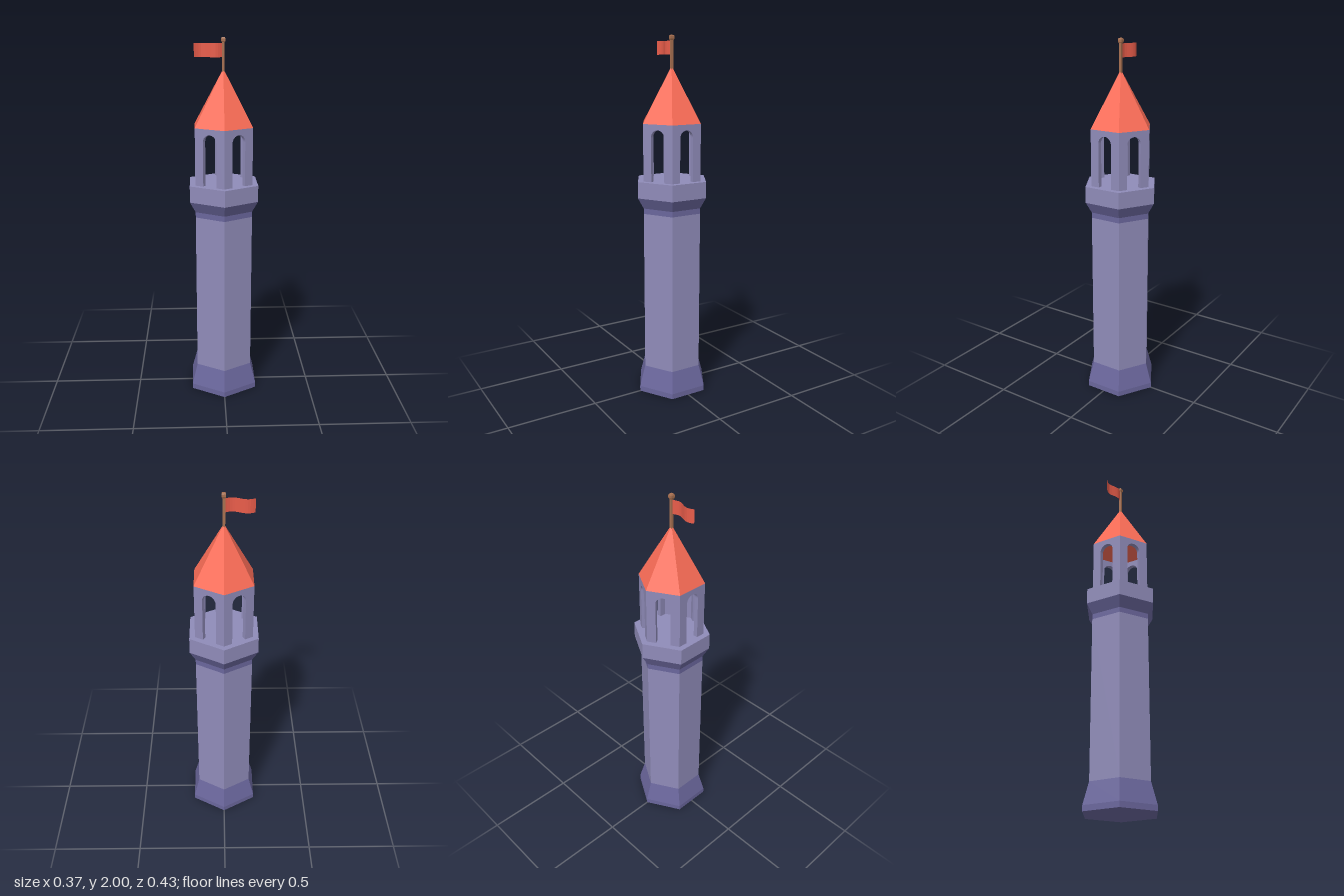
import * as THREE from 'three';

const material = (color, side = THREE.FrontSide) =>
  new THREE.MeshStandardMaterial({ color, flatShading: true, side });

const stone = material(0x8f8bb8);
const darkStone = material(0x6a669c);
const roofRed = material(0xfa6c56);
const flagRed = material(0xe85c4a, THREE.DoubleSide);
const wood = material(0xa87050);

const R = 0.178;                        // corner radius of the shaft
const APOTHEM = R * Math.cos(Math.PI / 6);
const WALL = 0.025;                     // lantern wall thickness

function part(parent, name, geometry, mat) {
  const mesh = new THREE.Mesh(geometry, mat);
  mesh.name = name;
  parent.add(mesh);
  return mesh;
}

// Faceted solid of revolution from [radius, height] pairs, listed bottom to top
function faceted(profile, sides = 6, start = 0) {
  const points = profile.map(([r, y]) => new THREE.Vector2(r, y));
  return new THREE.LatheGeometry(points, sides, start).toNonIndexed();
}

// One side of the lantern: a wall with an arched opening, mitred at its ends
function archWall() {
  const half = R / 2, low = 1.23, high = 1.54, w = 0.04, spring = 1.47;
  const shape = new THREE.Shape();
  shape.moveTo(-half, low);
  shape.lineTo(-w, low);
  shape.lineTo(-w, spring);
  shape.absarc(0, spring, w, Math.PI, 0, true);
  shape.lineTo(w, low);
  shape.lineTo(half, low);
  shape.lineTo(half, high);
  shape.lineTo(-half, high);
  const geometry = new THREE.ExtrudeGeometry(shape, { depth: WALL, bevelEnabled: false, curveSegments: 10 });
  const pos = geometry.attributes.position;
  for (let i = 0; i < pos.count; i++) {
    if (pos.getZ(i) < WALL / 2 && Math.abs(pos.getX(i)) > half - 0.001) {
      pos.setX(i, pos.getX(i) * (APOTHEM - WALL) / APOTHEM);
    }
  }
  geometry.translate(0, 0, APOTHEM - WALL);
  geometry.computeVertexNormals();
  return geometry;
}

// Cloth rippling once along its length
function flagGeometry() {
  const length = 0.15, height = 0.072;
  const geometry = new THREE.PlaneGeometry(length, height, 12, 1);
  geometry.translate(-length / 2 - 0.004, 1.934, 0);
  const pos = geometry.attributes.position;
  for (let i = 0; i < pos.count; i++) {
    const u = (-pos.getX(i) - 0.004) / length;
    pos.setZ(i, 0.012 * Math.sin(u * Math.PI * 2));
  }
  geometry.computeVertexNormals();
  return geometry;
}

export function createModel() {
  const tower = new THREE.Group();
  tower.name = 'tower';

  // Shaft and its darker footing and corbel
  part(tower, 'base', faceted([[0, 0], [0.213, 0], [0.213, 0.03], [R, 0.15]]), darkStone);
  part(tower, 'shaft', faceted([[R, 0.15], [R, 1.05]]), stone);
  part(tower, 'corbel', faceted([[R, 1.05], [R, 1.08], [0.213, 1.14]]), darkStone);
  part(tower, 'gallery', faceted([[0.213, 1.14], [0.213, 1.23], [0, 1.23]]), stone);

  // Open lantern room
  const lantern = new THREE.Group();
  lantern.name = 'lantern';
  tower.add(lantern);
  const wall = archWall();
  for (let i = 0; i < 6; i++) {
    part(lantern, 'archWall', wall, stone).rotation.y = (i + 0.5) * Math.PI / 3;
  }

  // Roof
  part(tower, 'roof', faceted([[0, 1.54], [R, 1.54], [0, 1.84]]), roofRed);

  // Square flagpole, finial and flag
  const q = Math.SQRT1_2 * 2;
  part(tower, 'flagpole', faceted([[0.007 * q, 1.8], [0.007 * q, 1.98]], 4, Math.PI / 4), wood);
  part(tower, 'finial', faceted([[0, 1.974], [0.008 * q, 1.974], [0.011 * q, 1.981],
    [0.011 * q, 1.993], [0.008 * q, 2], [0, 2]], 4, Math.PI / 4), wood);
  part(tower, 'flag', flagGeometry(), flagRed);

  return tower;
}
